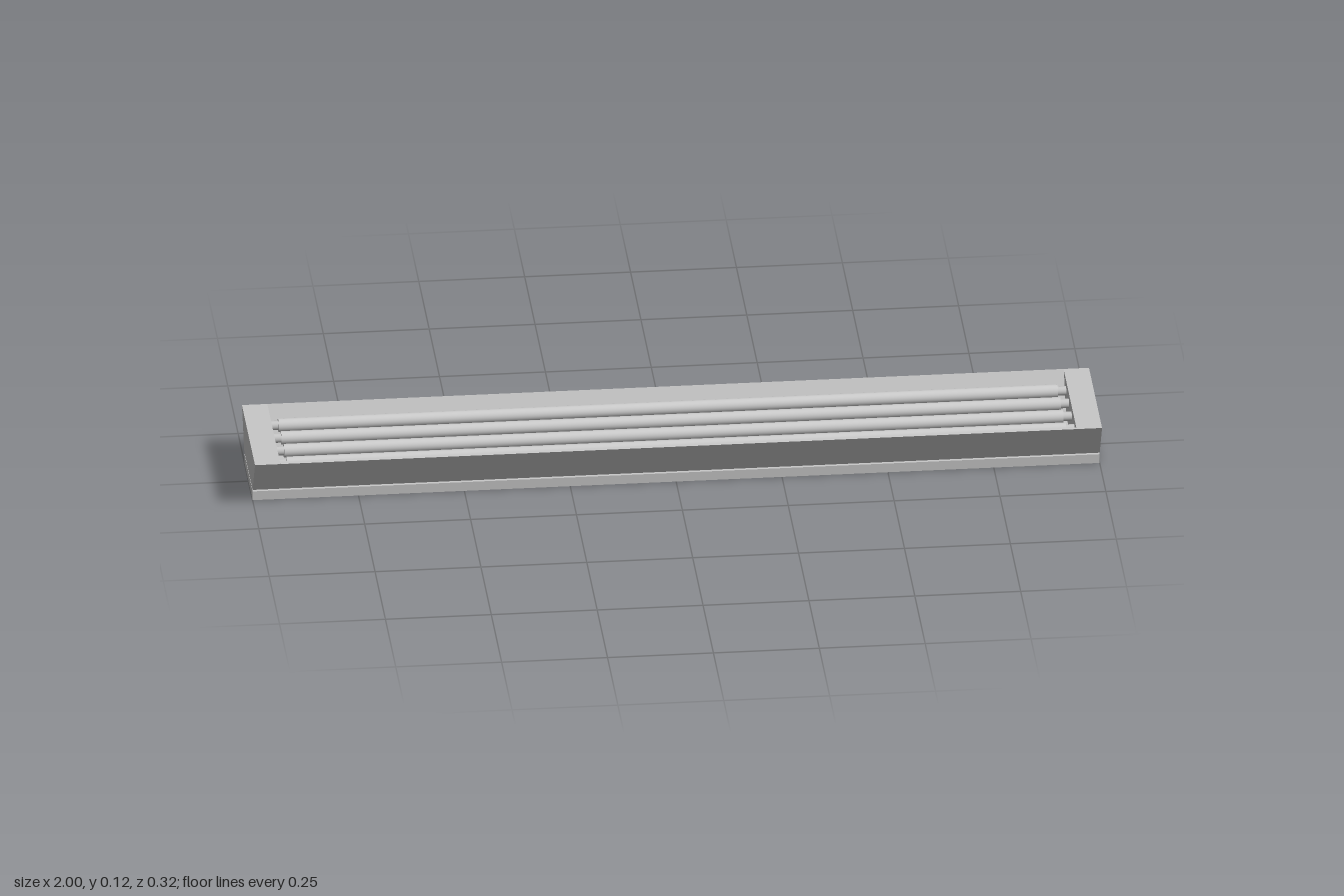
import * as THREE from 'three';

const LENGTH = 2, CAP = 0.06;
const INNER = LENGTH - 2 * CAP;

// Extrudes a (z, y) outline along x, centred on the given x.
function prism(points, length, x, material, name) {
  const shape = new THREE.Shape(points.map(([z, y]) => new THREE.Vector2(-z, y)));
  const geometry = new THREE.ExtrudeGeometry(shape, { depth: length, bevelEnabled: false });
  geometry.translate(0, 0, -length / 2);
  geometry.rotateY(Math.PI / 2);
  const mesh = new THREE.Mesh(geometry, material);
  mesh.position.x = x;
  mesh.name = name;
  return mesh;
}

// One lamp tube with narrower sockets at both ends.
function lampTube(y, z, tubeMaterial, socketMaterial) {
  const lamp = new THREE.Group();
  lamp.name = 'lamp';
  const add = (radius, length, x, material, name) => {
    const geometry = new THREE.CylinderGeometry(radius, radius, length, 24);
    geometry.rotateZ(Math.PI / 2);
    const mesh = new THREE.Mesh(geometry, material);
    mesh.position.x = x;
    mesh.name = name;
    lamp.add(mesh);
  };
  add(0.016, 1.84, 0, tubeMaterial, 'tube');
  for (const side of [-1, 1]) add(0.011, 0.024, side * 0.93, socketMaterial, 'socket');
  lamp.position.set(0, y, z);
  return lamp;
}

export function createModel() {
  const metal = new THREE.MeshStandardMaterial({ color: 0xc8c8c8 });
  metal.name = 'grey metal';
  const glass = new THREE.MeshStandardMaterial({ color: 0xcecece });
  glass.name = 'pale tube';

  const model = new THREE.Group();
  model.name = 'lightFixture';

  // Flat mounting base
  const base = new THREE.Mesh(new THREE.BoxGeometry(LENGTH, 0.023, 0.2), metal);
  base.position.y = 0.0115;
  base.name = 'base';
  model.add(base);

  // Open trough with sloping walls
  model.add(prism([
    [-0.1, 0.027], [0.1, 0.027], [0.158, 0.121], [0.152, 0.122],
    [0.097, 0.031], [-0.097, 0.031], [-0.152, 0.122], [-0.158, 0.121],
  ], INNER, 0, metal, 'trough'));

  // Solid end caps
  const capOutline = [[-0.1, 0.027], [0.1, 0.027], [0.158, 0.121], [-0.158, 0.121]];
  for (const side of [-1, 1]) {
    model.add(prism(capOutline, CAP, side * (LENGTH - CAP) / 2, metal, side > 0 ? 'leftEndCap' : 'rightEndCap'));
  }

  // Four parallel lamps
  for (let i = 0; i < 4; i++) {
    model.add(lampTube(0.093, -0.1 + i * 0.2 / 3, glass, metal));
  }
  return model;
}
